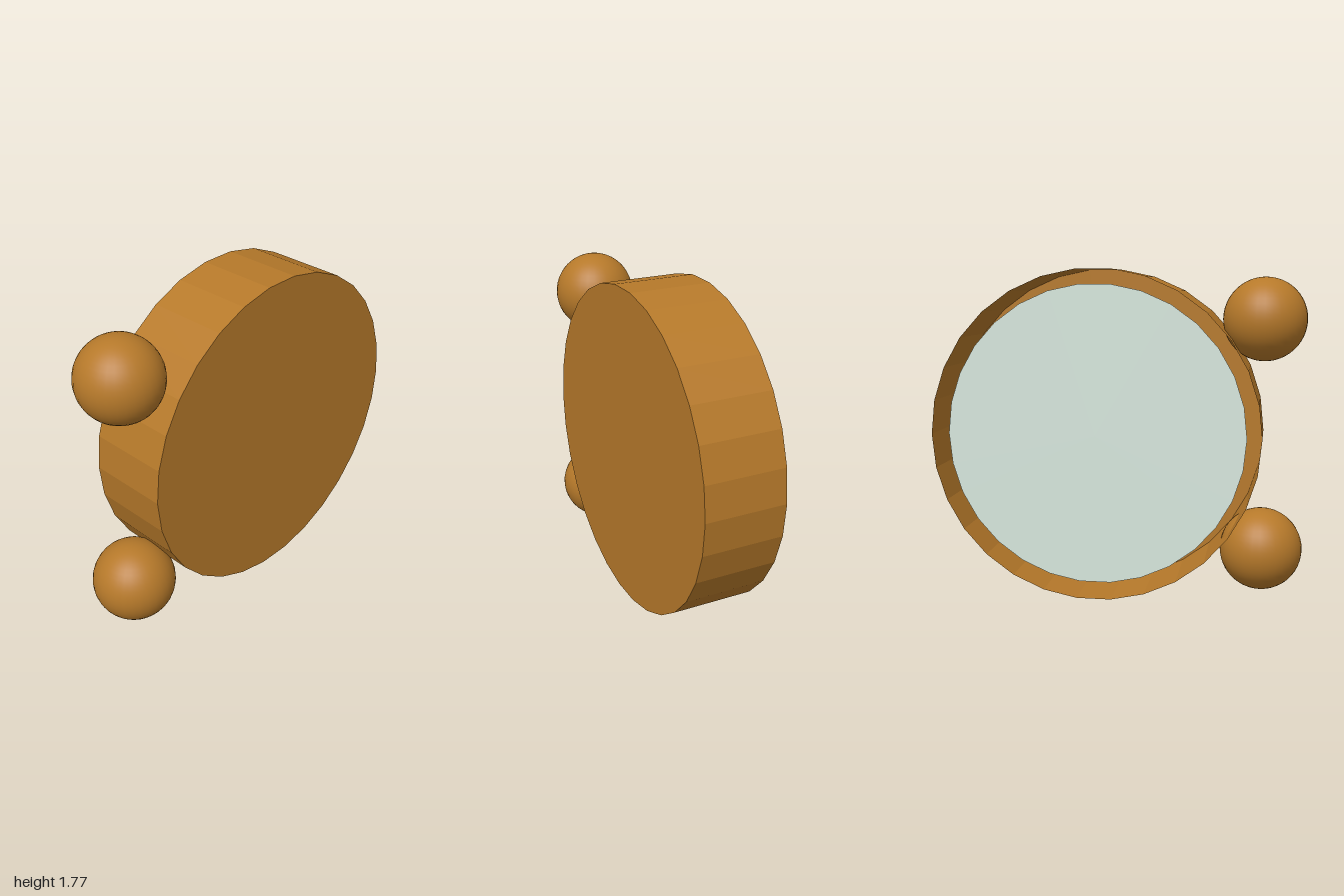
import * as THREE from 'three';

const RADIUS = 0.889, HALF_WIDTH = 0.222, CENTRE_Y = 0.889, CENTRE_Z = -0.111, SIDES = 30;

export function createModel() {
  const group = new THREE.Group();
  const wood = new THREE.MeshStandardMaterial({ color: 0xb6792a, flatShading: true, side: THREE.DoubleSide });
  wood.name = 'wood';
  const smoothWood = wood.clone();
  smoothWood.flatShading = false;
  const glass = new THREE.MeshStandardMaterial({ color: 0xd9e9df, side: THREE.DoubleSide });
  glass.name = 'pale glass';

  const add = (name, geometry, material, x, y, z) => {
    const mesh = new THREE.Mesh(geometry, material);
    mesh.name = name;
    mesh.position.set(x, y, z);
    group.add(mesh);
  };

  // Round casing: open on the -x side, closed on the +x side
  const shell = new THREE.CylinderGeometry(RADIUS, RADIUS, HALF_WIDTH * 2, SIDES, 1, true).rotateZ(Math.PI / 2);
  add('casingWall', shell, wood, 0, CENTRE_Y, CENTRE_Z);
  const back = new THREE.CircleGeometry(RADIUS, SIDES).rotateY(Math.PI / 2);
  add('casingBack', back, wood, HALF_WIDTH, CENTRE_Y, CENTRE_Z);

  // Pale disc set just inside the open side
  const disc = new THREE.CircleGeometry(0.81, SIDES).rotateY(-Math.PI / 2);
  add('faceDisc', disc, glass, -HALF_WIDTH + 0.055, CENTRE_Y, CENTRE_Z);

  // Upper and lower ball feet
  const ball = new THREE.SphereGeometry(0.222, 32, 24);
  for (const [name, side] of [['upperBall', 1], ['lowerBall', -1]]) {
    add(name, ball, smoothWood, 0, CENTRE_Y + side * 0.622, 0.778);
  }
  return group;
}
